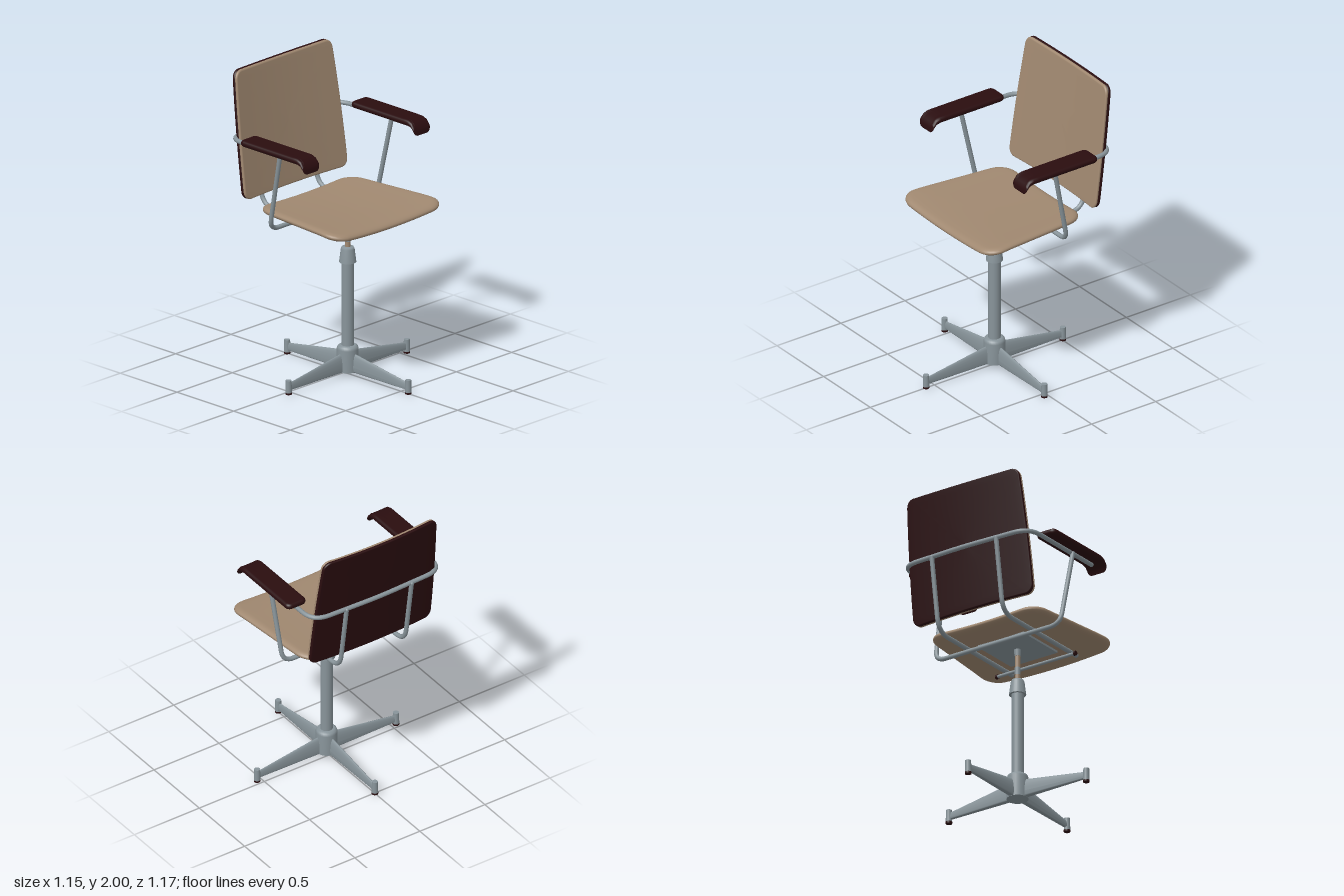
import * as THREE from 'three';
import { mergeGeometries } from 'three/addons/utils/BufferGeometryUtils.js';

const V = (x, y, z) => new THREE.Vector3(x, y, z);

// Closed rounded-rectangle outline, counter-clockwise, with subdivided edges
function outline(hx, hy, r) {
  const corners = [[1, 1], [-1, 1], [-1, -1], [1, -1]], pts = [];
  corners.forEach(([sx, sy], q) => {
    for (let i = 0; i <= 7; i++) {
      const a = (q + i / 7) * Math.PI / 2;
      pts.push([sx * (hx - r) + r * Math.cos(a), sy * (hy - r) + r * Math.sin(a)]);
    }
    const [nx, ny] = corners[(q + 1) % 4], last = pts[pts.length - 1];
    const a = (q + 1) * Math.PI / 2;
    const next = [nx * (hx - r) + r * Math.cos(a), ny * (hy - r) + r * Math.sin(a)];
    for (let i = 1; i < 14; i++) {
      const t = i / 14;
      pts.push([last[0] + (next[0] - last[0]) * t, last[1] + (next[1] - last[1]) * t]);
    }
  });
  return pts;
}

// Cushion with rounded rim, half thickness h and rim width e, shaped by bend(u, v, n)
function pad(hx, hy, r, h, e, bend) {
  const rings = [];
  const inner = [0, 0.25, 0.5, 0.75, 0.9];
  inner.forEach(k => rings.push([k, e, h]));
  for (let i = 0; i <= 8; i++) {
    const a = Math.PI / 2 - i * Math.PI / 8;
    rings.push([1, e * (1 - Math.cos(a)), h * Math.sin(a)]);
  }
  [...inner].reverse().forEach(k => rings.push([k, e, -h]));
  const pos = [], idx = [];
  let n = 0;
  rings.forEach(([k, inset, z]) => {
    const pts = outline(hx - inset, hy - inset, Math.max(r - inset, 0.004));
    n = pts.length;
    pts.forEach(([u, v]) => pos.push(...bend(u * k, v * k, z)));
  });
  for (let i = 0; i < rings.length - 1; i++) {
    for (let j = 0; j < n; j++) {
      const a = i * n + j, b = i * n + (j + 1) % n;
      idx.push(a, a + n, b + n, a, b + n, b);
    }
  }
  const g = new THREE.BufferGeometry();
  g.setAttribute('position', new THREE.Float32BufferAttribute(pos, 3));
  g.setIndex(idx);
  g.computeVertexNormals();
  return g;
}

// Bent steel tube through points, with rounded corners and closed ends
function bentTube(pts, bend, radius = 0.015) {
  const path = new THREE.CurvePath();
  let from = pts[0];
  for (let i = 1; i < pts.length - 1; i++) {
    const p = pts[i];
    const a = p.clone().add(pts[i - 1].clone().sub(p).setLength(bend));
    const b = p.clone().add(pts[i + 1].clone().sub(p).setLength(bend));
    path.add(new THREE.LineCurve3(from, a));
    path.add(new THREE.QuadraticBezierCurve3(a, p, b));
    from = b;
  }
  const end = pts[pts.length - 1];
  path.add(new THREE.LineCurve3(from, end));
  const caps = [pts[0], end].map(p => new THREE.SphereGeometry(radius, 12, 8).translate(p.x, p.y, p.z));
  return mergeGeometries([new THREE.TubeGeometry(path, 90, radius, 12), ...caps]);
}

export function createModel() {
  const model = new THREE.Group();
  const mat = (name, color) => Object.assign(new THREE.MeshStandardMaterial({ color }), { name });
  const tan = mat('tan upholstery', 0xa08870);
  const dark = mat('dark maroon plastic', 0x2a0d0f);
  const steel = mat('grey steel', 0x88949a);

  const add = (name, geometry, material, x = 0, y = 0, z = 0, parent = model) => {
    const m = new THREE.Mesh(geometry, material);
    m.name = name;
    m.position.set(x, y, z);
    parent.add(m);
    return m;
  };
  const cyl = (rt, rb, y0, y1) => new THREE.CylinderGeometry(rt, rb, y1 - y0, 24).translate(0, (y0 + y1) / 2, 0);
  const lathe = pts => new THREE.LatheGeometry(pts.map(p => new THREE.Vector2(...p)), 28);

  // Pedestal: hub, column, collar and height spindle
  const pedestal = new THREE.Group();
  pedestal.name = 'pedestal';
  pedestal.position.z = 0.03;
  model.add(pedestal);
  const ped = (name, g, m) => add(name, g, m, 0, 0, 0, pedestal);
  ped('hub', lathe([[0, 0.025], [0.07, 0.025], [0.07, 0.025], [0.07, 0.17], [0.064, 0.187], [0.05, 0.196], [0, 0.196]]), steel);
  ped('column', cyl(0.04, 0.04, 0.19, 0.76), steel);
  ped('collar', lathe([[0, 0.752], [0.055, 0.752], [0.055, 0.752], [0.044, 0.84], [0.038, 0.853], [0, 0.856]]), steel);
  ped('spindle', cyl(0.018, 0.018, 0.85, 1.03), tan);
  ped('spindleRing', cyl(0.0195, 0.0195, 0.89, 0.94), steel);
  ped('seatSocket', cyl(0.024, 0.02, 1.02, 1.075), steel);

  // Four tapered legs with upright feet
  const legGeo = new THREE.CylinderGeometry(1, 1, 0.51, 20).rotateZ(-Math.PI / 2).translate(0.275, 0, 0);
  const lp = legGeo.attributes.position;
  for (let i = 0; i < lp.count; i++) {
    const t = (lp.getX(i) - 0.02) / 0.51;
    const top = 0.155 - 0.082 * t;
    lp.setY(i, 0.027 + (top - 0.027) * Math.min(1, Math.max(0, lp.getY(i) + 0.4) / 1.4));
    lp.setZ(i, lp.getZ(i) * (0.02 - 0.009 * t));
  }
  legGeo.computeVertexNormals();
  for (let i = 0; i < 4; i++) {
    const leg = new THREE.Group();
    leg.name = 'leg';
    leg.rotation.y = i * Math.PI / 2;
    pedestal.add(leg);
    add('legBeam', legGeo, steel, 0, 0, 0, leg);
    add('foot', cyl(0.019, 0.021, 0.012, 0.093), steel, 0.534, 0, 0, leg);
    add('footGlide', cyl(0.021, 0.021, 0, 0.012), dark, 0.534, 0, 0, leg);
  }

  // Seat: wider at the front, sides gently raised, nose rolled down
  add('seat', pad(0.46, 0.397, 0.12, 0.023, 0.045, (u, v, n) => {
    const z = 0.026 - v, x = u * (1 + 0.22 * z);
    const nose = Math.max(0, z - 0.22) / 0.2;
    return [x, 1.098 + n + 0.022 * (x / 0.48) ** 2 - 0.012 * nose * nose, z];
  }), tan);
  add('seatPlate', new THREE.BoxGeometry(0.36, 0.018, 0.36), steel, 0, 1.073, 0.03);

  // Backrest: leaning and bowed panel, upholstered front on a dark shell
  const lean = offset => (u, v, n) => {
    const t = (v + 0.4175) / 0.835;
    const x = u * (1 - 0.07 * t * t), c = (x / 0.46) ** 2;
    return [x, 1.5795 + v + 0.008 * t * (c - 0.8), -0.455 - 0.115 * t + 0.022 * c + n + offset];
  };
  add('backCushion', pad(0.464, 0.417, 0.055, 0.011, 0.012, lean(0.009)), tan);
  add('backShell', pad(0.465, 0.4175, 0.055, 0.012, 0.008, lean(-0.008)), dark);

  // One tube forms both arms and wraps behind the backrest
  add('armTube', bentTube([
    V(-0.495, 1.565, 0.14), V(-0.495, 1.565, -0.535), V(0, 1.565, -0.553),
    V(0.495, 1.565, -0.535), V(0.495, 1.565, 0.14)], 0.12), steel);

  // U-shaped tube carrying the arms, passing under the seat
  add('armSupport', bentTube([
    V(-0.505, 1.56, -0.075), V(-0.485, 1.035, -0.185),
    V(0.485, 1.035, -0.185), V(0.505, 1.56, -0.075)], 0.08), steel);

  // Cross rod under the front of the seat
  add('crossRod', new THREE.CylinderGeometry(0.011, 0.011, 0.6, 16).rotateZ(Math.PI / 2), steel, 0, 1.035, 0.23);

  for (const s of [-1, 1]) {
    add('backRail', bentTube([
      V(s * 0.25, 1.066, 0.315), V(s * 0.25, 1.066, -0.475), V(s * 0.25, 1.562, -0.55)], 0.1), steel);
    add('rodCap', new THREE.CylinderGeometry(0.015, 0.015, 0.015, 16).rotateZ(Math.PI / 2), dark, s * 0.303, 1.035, 0.23);
    // Armrest with a downturned front lip
    add('armrest', pad(0.075, 0.31, 0.035, 0.02, 0.018, (u, v, n) => {
      const l = -0.06 - v, q = Math.max(0, l - 0.13) / 0.12;
      const z = l > 0.13 ? 0.13 + 0.12 * q - 0.048 * q * q : l;
      return [s * 0.5 + u, 1.595 + n * (1 - 0.3 * q) - 0.07 * q * q, z];
    }), dark);
  }
  return model;
}
